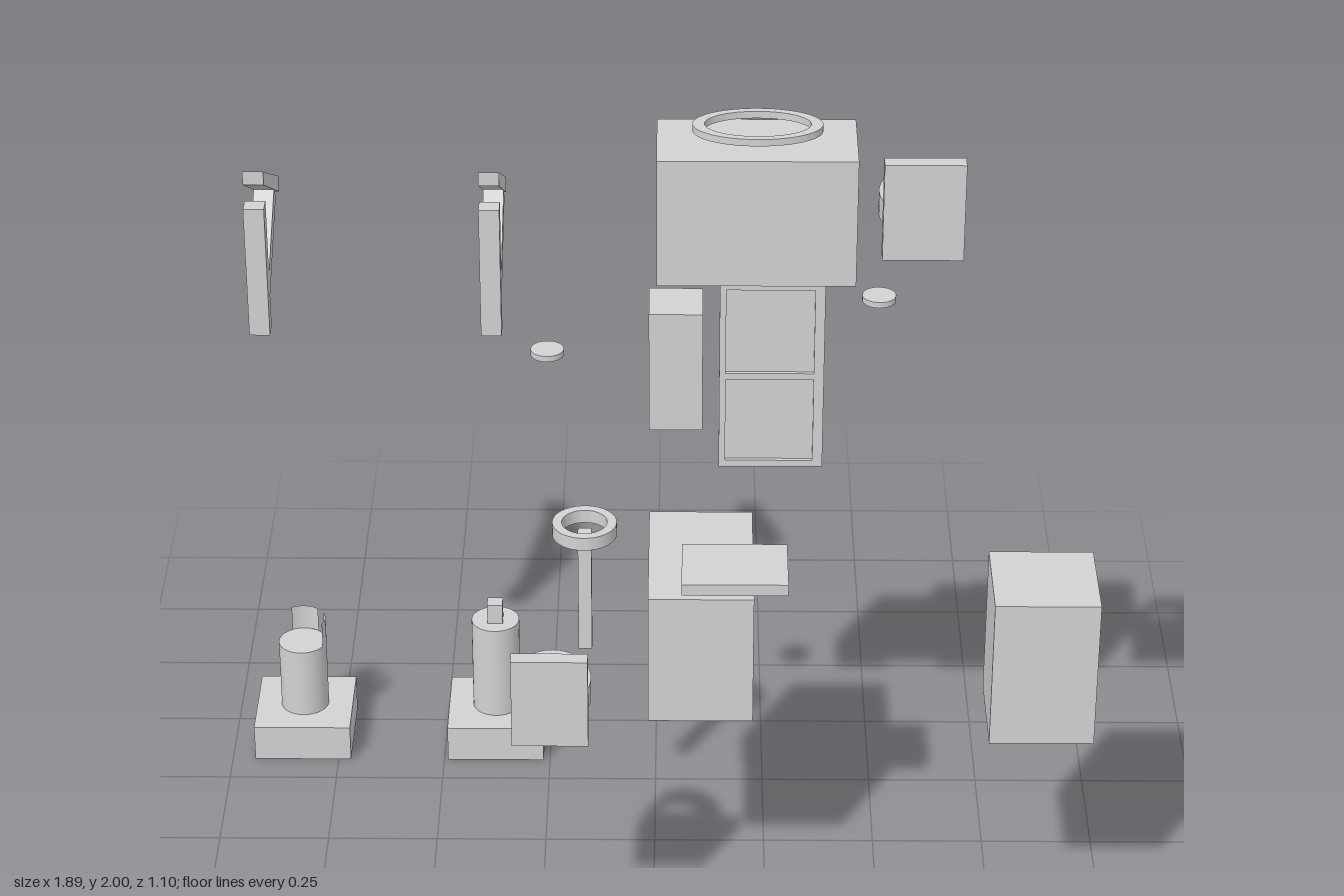
import * as THREE from 'three';
import { toCreasedNormals } from 'three/addons/utils/BufferGeometryUtils.js';

// Double sided for the thin open rim pieces
const grey = new THREE.MeshStandardMaterial({ color: 0xd3d3d3, side: THREE.DoubleSide });
grey.name = 'plain grey';

function add(parent, name, geometry) {
  const mesh = new THREE.Mesh(geometry, grey);
  mesh.name = name;
  parent.add(mesh);
  return mesh;
}

// Box given by its lower and upper limits on each axis
function box(parent, name, x0, x1, y0, y1, z0, z1) {
  const mesh = add(parent, name, new THREE.BoxGeometry(x1 - x0, y1 - y0, z1 - z0));
  mesh.position.set((x0 + x1) / 2, (y0 + y1) / 2, (z0 + z1) / 2);
}

function cylinder(parent, name, r, x, y0, y1, z) {
  const mesh = add(parent, name, new THREE.CylinderGeometry(r, r, y1 - y0, 32));
  mesh.position.set(x, (y0 + y1) / 2, z);
}

// Flat oval ring lying level, with its underside at y0
function ring(parent, name, x, y0, y1, z, rx, rz, innerX, innerZ) {
  const shape = new THREE.Shape();
  shape.absellipse(0, 0, rx, rz, 0, Math.PI * 2);
  const hole = new THREE.Path();
  hole.absellipse(0, 0, innerX, innerZ, 0, Math.PI * 2);
  shape.holes.push(hole);
  const geometry = new THREE.ExtrudeGeometry(shape, { depth: y1 - y0, bevelEnabled: false, curveSegments: 32 });
  geometry.rotateX(-Math.PI / 2);
  const mesh = add(parent, name, toCreasedNormals(geometry, 0.6));
  mesh.position.set(x, y0, z);
}

// Polygon of [z, y] points, extruded across x
function sideProfile(parent, name, points, width) {
  const shape = new THREE.Shape(points.map(([z, y]) => new THREE.Vector2(z, y)));
  const geometry = new THREE.ExtrudeGeometry(shape, { depth: width, bevelEnabled: false });
  geometry.translate(0, 0, -width / 2);
  geometry.rotateY(-Math.PI / 2);
  add(parent, name, geometry);
}

function group(parent, name) {
  const g = new THREE.Group();
  g.name = name;
  parent.add(g);
  return g;
}

// Toilet with its origin at the foot, below the middle of the bowl
function toilet(parent, x, y, z) {
  const g = group(parent, 'toilet');
  box(g, 'foot', -0.063, 0.063, 0, 0.08, -0.051, 0.051);
  ring(g, 'bowlRim', 0, 0.075, 0.123, 0, 0.085, 0.113, 0.063, 0.087);
  box(g, 'tank', -0.081, 0.081, 0.029, 0.238, 0.085, 0.12);
  g.position.set(x, y, z);
}

// Wall bracket: upright, sloping arm and diagonal brace
function bracket(parent, x) {
  const g = group(parent, 'bracket');
  const w = 0.045;
  box(g, 'post', -w / 2, w / 2, 1.244, 1.549, -0.164, -0.122);
  sideProfile(g, 'slopingArm', [[-0.145, 1.596], [-0.145, 1.628], [-0.458, 1.466], [-0.446, 1.434]], w);
  sideProfile(g, 'brace', [[-0.16, 1.318], [-0.16, 1.371], [-0.35, 1.489], [-0.377, 1.456]], w);
  g.position.x = x;
}

// Rectangular panel frame with openings given as [x0, x1, y0, y1]
function panelFrame(parent, name, x0, x1, y0, y1, z0, z1, openings) {
  const rect = (Type, a, b, c, d) => new Type([[a, c], [b, c], [b, d], [a, d]].map(p => new THREE.Vector2(...p)));
  const shape = rect(THREE.Shape, x0, x1, y0, y1);
  for (const o of openings) shape.holes.push(rect(THREE.Path, ...o));
  const geometry = new THREE.ExtrudeGeometry(shape, { depth: z1 - z0, bevelEnabled: false });
  add(parent, name, geometry).position.z = z0;
}

export function createModel() {
  const model = new THREE.Group();
  model.name = 'bathroomParts';

  // Counter with oval basin rim
  const counter = group(model, 'counter');
  box(counter, 'counterBlock', 0.007, 0.407, 1.686, 1.962, 0.296, 0.492);
  ring(counter, 'basinRim', 0.208, 1.985, 2.0, 0.398, 0.13, 0.073, 0.106, 0.058);

  toilet(model, 0.537, 1.731, 0.402);
  toilet(model, -0.217, 0.592, 0.431);

  // Loose discs
  cylinder(model, 'disc', 0.035, 0.465, 1.542, 1.555, 0.275);
  cylinder(model, 'disc', 0.035, -0.223, 1.386, 1.399, 0.224);

  // Cabinets and lid
  box(model, 'smallCabinet', -0.012, 0.103, 1.125, 1.405, -0.041, 0.081);
  box(model, 'largeCabinet', -0.012, 0.215, 0.542, 0.85, -0.041, 0.33);
  box(model, 'cabinetLid', 0.06, 0.288, 0.86, 0.887, 0.16, 0.33);
  box(model, 'sideCabinet', 0.722, 0.947, 0.542, 0.887, 0.187, 0.413);

  // Panelled door
  const door = group(model, 'door');
  const openings = [[0.154, 0.346, 1.177, 1.381], [0.154, 0.346, 0.96, 1.161]];
  panelFrame(door, 'frontFrame', 0.14, 0.368, 0.944, 1.4, -0.092, -0.079, openings);
  panelFrame(door, 'backFrame', 0.146, 0.358, 0.951, 1.393, -0.105, -0.092, openings);
  for (const [x0, x1, y0, y1] of openings) box(door, 'doorPanel', x0, x1, y0, y1, -0.096, -0.088);

  // Ring stand
  const stand = group(model, 'ringStand');
  ring(stand, 'standRing', -0.154, 0.829, 0.86, 0.022, 0.071, 0.071, 0.05, 0.05);
  box(stand, 'standPole', -0.169, -0.139, 0.542, 0.835, 0.006, 0.037);

  // Two pedestals
  for (const [x, top] of [[-0.378, 0.322], [-0.834, 0.26]]) {
    const pedestal = group(model, 'pedestal');
    box(pedestal, 'plinth', x - 0.113, x + 0.113, 0, 0.088, -0.552, -0.328);
    cylinder(pedestal, 'column', 0.056, x, 0.088, top, -0.44);
  }
  // Peg on one column, upright rim pieces on the back and left of the other
  box(model, 'columnPeg', -0.396, -0.36, 0.322, 0.372, -0.455, -0.419);
  for (const [start, sweep] of [[Math.PI - 0.675, 1.195], [Math.PI / 2 - 0.5, 1]]) {
    const rim = add(model, 'columnRimPiece',
      new THREE.CylinderGeometry(0.056, 0.056, 0.062, 8, 1, true, start, sweep));
    rim.position.set(-0.834, 0.291, -0.44);
  }

  bracket(model, -0.862);
  bracket(model, -0.357);

  return model;
}
